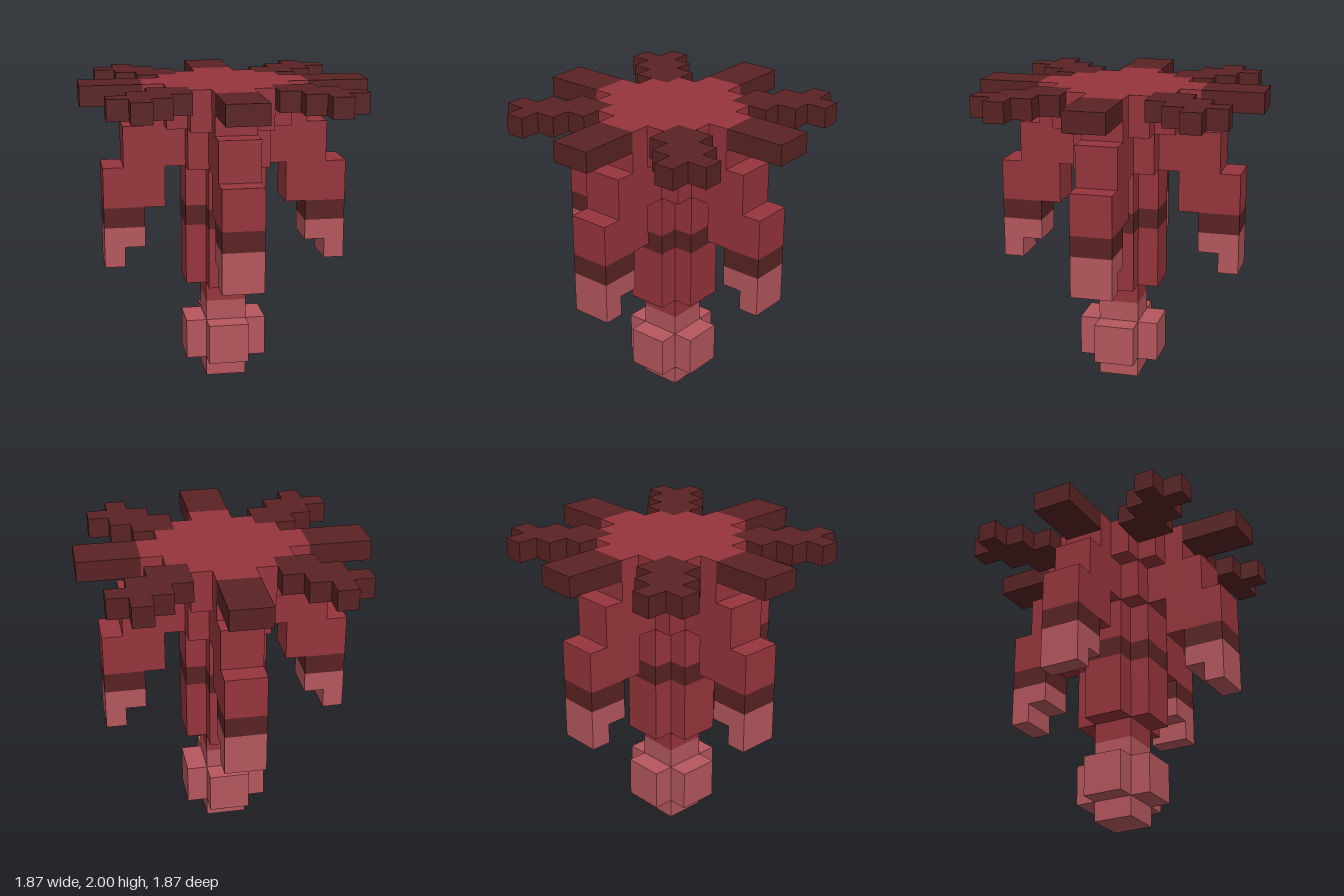
import * as THREE from 'three';

const U = 2 / 15; // one block

const material = (name, color) => {
  const m = new THREE.MeshStandardMaterial({ color });
  m.name = name;
  return m;
};

// Extrude an outline given in blocks
function extrude(points, depth) {
  const shape = new THREE.Shape(points.map(([x, y]) => new THREE.Vector2(x * U, y * U)));
  return new THREE.ExtrudeGeometry(shape, { depth: depth * U, bevelEnabled: false });
}

// Horizontal slab from an x/z outline, between heights y0 and y1
function slab(points, y0, y1) {
  return extrude(points, y1 - y0).rotateX(-Math.PI / 2).translate(0, y0 * U, 0);
}

// Plus-shaped outline: half length a, half width b (a square when equal)
function plus(a, b) {
  if (a === b) return [[-a, -a], [a, -a], [a, a], [-a, a]];
  return [[-b, -a], [b, -a], [b, -b], [a, -b], [a, b], [b, b],
    [b, a], [-b, a], [-b, b], [-a, b], [-a, -b], [-b, -b]];
}

const rect = (x0, y0, x1, y1) => [[x0, y0], [x1, y0], [x1, y1], [x0, y1]];

export function createModel() {
  const red = material('red', 0x96353b);
  const dark = material('dark red', 0x5a2223);
  const pink = material('pink', 0xb5575d);
  const model = new THREE.Group();
  model.name = 'hangingFlower';

  const add = (parent, name, geometry, mat) => {
    const mesh = new THREE.Mesh(geometry, mat);
    mesh.name = name;
    parent.add(mesh);
  };

  // Central column, bottom to top: name, half length, half width, y0, y1, colour
  const layers = [
    ['bulbTip', 1, 1, 0, 1, pink],
    ['bulb', 2, 1, 1, 3, pink],
    ['bulbNeck', 1, 1, 3, 4, pink],
    ['stem', 1, 1, 4, 5, red],
    ['lowerCore', 2, 1, 5, 8, red],
    ['coreBand', 2, 1, 8, 9, dark],
    ['upperCore', 2, 1, 9, 11, red],
    ['shoulder', 2, 2, 11, 13, red],
    ['crown', 3, 2, 13, 15, red],
  ];
  for (const [name, a, b, y0, y1, mat] of layers) add(model, name, slab(plus(a, b), y0, y1), mat);

  // Side profiles of a drooping arm and stepped plan of a diagonal petal
  const armProfile = [[3, 15], [4, 15], [4, 13], [5, 13], [5, 11], [6, 11], [6, 9],
    [3, 9], [3, 11], [2, 11], [2, 13], [3, 13]].reverse();
  const tipProfile = [[4, 7], [5, 7], [5, 6], [6, 6], [6, 8], [4, 8]];
  const petalPlan = [[2, 2], [4, 2], [4, 3], [5, 3], [5, 4], [6, 4], [6, 5],
    [5, 5], [5, 6], [4, 6], [4, 5], [3, 5], [3, 4], [2, 4]];
  const upright = (points) => extrude(points, 2).translate(0, 0, -U);

  // Four arms with straight petals, and four diagonal petals between them
  for (let i = 0; i < 4; i++) {
    const arm = new THREE.Group();
    arm.name = 'arm' + (i + 1);
    arm.rotation.y = i * Math.PI / 2;
    add(arm, 'armBody', upright(armProfile), red);
    add(arm, 'armBand', upright(rect(4, 8, 6, 9)), dark);
    add(arm, 'armTip', upright(tipProfile), pink);
    add(arm, 'straightPetal', upright(rect(4, 14, 7, 15)), dark);
    add(arm, 'diagonalPetal', slab(petalPlan, 14, 15), dark);
    model.add(arm);
  }
  return model;
}
